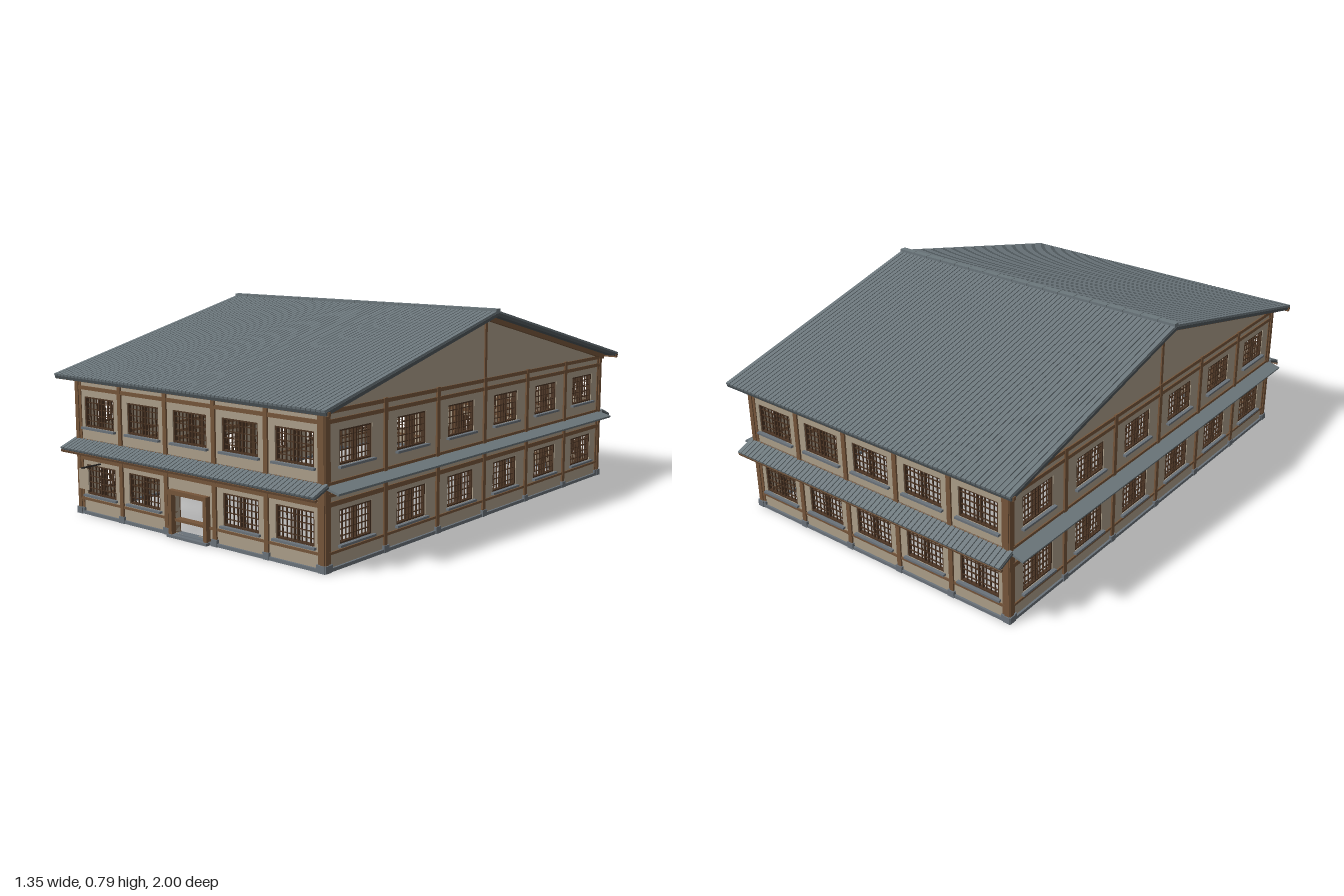
import * as THREE from 'three';
import { mergeGeometries } from 'three/addons/utils/BufferGeometryUtils.js';

const mat = (name, color) => Object.assign(new THREE.MeshStandardMaterial({ color }), { name });
const plaster = mat('plaster', 0xab9e89);
const timber = mat('timber', 0x75553a);
const lattice = mat('lattice wood', 0x4c3524);
const tile = mat('roof tile', 0x6c777c);
const slab = mat('roof underlay', 0x4d5559);
const stone = mat('stone', 0x6a727a);
const iron = mat('iron', 0x2e2b29);

// One box: width, height, depth, centre
function box(w, h, d, x, y, z) {
  return new THREE.BoxGeometry(w, h, d).translate(x, y, z);
}

function add(parent, name, geometries, material) {
  const mesh = new THREE.Mesh(mergeGeometries(geometries), material);
  mesh.name = name;
  parent.add(mesh);
  return mesh;
}

const HALF_W = 0.615, HALF_D = 0.92, EAVE = 0.53, SLOPE = 0.2475;
const WIN_W = 0.168, WIN_H = 0.116, THICK = 0.02;
const MID = -THICK / 2;

function rectHole(x0, x1, y0, y1) {
  return new THREE.Path([[x0, y0], [x1, y0], [x1, y1], [x0, y1]].map(p => new THREE.Vector2(...p)));
}

// Sliding lattice window: frame, meeting stiles and thin bars
function windowBars(cx, cy) {
  const bars = [];
  for (const s of [-1, 1]) {
    bars.push(box(0.006, WIN_H, 0.014, cx + s * (WIN_W / 2 - 0.003), cy, MID));
    bars.push(box(WIN_W, 0.006, 0.014, cx, cy + s * (WIN_H / 2 - 0.003), MID));
    bars.push(box(0.005, WIN_H, 0.01, cx + s * 0.008, cy, MID));
    for (let i = 1; i <= 3; i++)
      bars.push(box(0.0028, WIN_H, 0.005, cx + s * (0.004 + i * 0.019), cy, MID));
  }
  for (let j = 1; j <= 4; j++)
    bars.push(box(WIN_W, 0.0028, 0.005, cx, cy - WIN_H / 2 + j * WIN_H / 5, MID));
  return bars;
}

// A wall along local x with its outer face at z = 0, divided in equal bays
function makeWall(name, half, bays, gable, hasDoor) {
  const wall = new THREE.Group();
  wall.name = name;
  const pts = [[-half, 0], [half, 0], [half, EAVE]];
  if (gable) pts.push([0, EAVE + SLOPE * half]);
  pts.push([-half, EAVE]);
  const shape = new THREE.Shape(pts.map(p => new THREE.Vector2(...p)));

  const bay = (2 * half - 0.012) / bays;
  const bars = [], sills = [], posts = [], feet = [];
  for (let i = 0; i < bays; i++) {
    const cx = (i - (bays - 1) / 2) * bay;
    for (const cy of [0.137, 0.397]) {
      if (hasDoor && cy < 0.2 && i === (bays - 1) / 2) {
        shape.holes.push(rectHole(-0.08, 0.08, 0.012, 0.158));
        continue;
      }
      shape.holes.push(rectHole(cx - WIN_W / 2, cx + WIN_W / 2, cy - WIN_H / 2, cy + WIN_H / 2));
      bars.push(...windowBars(cx, cy));
      sills.push(box(0.186, 0.008, 0.026, cx, cy - WIN_H / 2 - 0.004, 0));
    }
  }
  const wallGeo = new THREE.ExtrudeGeometry(shape, { depth: THICK, bevelEnabled: false });
  wallGeo.translate(0, 0, -THICK);
  add(wall, 'plasterWall', [wallGeo], plaster);

  for (let i = 0; i <= bays; i++) {
    const x = (i - bays / 2) * bay;
    posts.push(box(0.018, EAVE, 0.034, x, EAVE / 2, MID));
    feet.push(box(0.028, 0.025, 0.042, x, 0.0125, MID));
  }
  if (gable) posts.push(box(0.014, 0.22, 0.03, 0, 0.64, MID));
  add(wall, 'posts', posts, timber);
  add(wall, 'postFeet', feet, stone);

  // Horizontal rails: height, thickness
  const rails = [[0.06, 0.009], [0.22, 0.016], [0.25, 0.012], [0.288, 0.01], [0.488, 0.014], [0.52, 0.014]];
  add(wall, 'rails', rails.map(([y, h]) => box(2 * half, h, 0.03, 0, y, MID)), timber);
  add(wall, 'baseSill', [box(2 * half, 0.012, 0.036, 0, 0.006, MID)], stone);
  add(wall, 'windowLattice', bars, lattice);
  add(wall, 'windowSills', sills, stone);
  return wall;
}

// Slab with tile ribs running down its slope; starts at the local origin
function makeTiledSlope(name, width, length, thick, rib, pitch) {
  const g = new THREE.Group();
  g.name = name;
  add(g, 'slopeSlab', [box(width, thick, length, 0, 0, length / 2)], slab);
  const n = Math.round(width / pitch), step = width / n, ribs = [];
  for (let i = 0; i < n; i++)
    ribs.push(box(step * 0.82, rib, length + 0.004, (i + 0.5) * step - width / 2, (thick + rib) / 2, length / 2));
  add(g, 'tileRibs', ribs, tile);
  return g;
}

// Lower canopy between floors: tiled on the short ends, plain on the long sides
function makeCanopy(half, tiled) {
  if (tiled) {
    const g = makeTiledSlope('canopy', 1.265, 0.073, 0.007, 0.007, 0.02);
    g.position.set(0, 0.283, 0);
    g.rotation.x = 0.38;
    add(g, 'canopyFascia', [box(1.27, 0.009, 0.01, 0, -0.006, 0.07)], timber);
    return g;
  }
  const g = new THREE.Group();
  g.name = 'sideCanopy';
  add(g, 'canopySlab', [box(2 * half, 0.008, 0.06, 0, 0, 0.03)], tile);
  g.position.set(0, 0.279, 0);
  g.rotation.x = 0.25;
  return g;
}

function makeDoor() {
  const door = new THREE.Group();
  door.name = 'doorway';
  add(door, 'doorFrame', [
    box(0.016, 0.17, 0.045, -0.088, 0.085, -0.002),
    box(0.016, 0.17, 0.045, 0.088, 0.085, -0.002),
    box(0.192, 0.016, 0.045, 0, 0.163, -0.002),
  ], timber);
  add(door, 'doorStep', [box(0.2, 0.01, 0.03, 0, 0.005, 0.012)], stone);
  return door;
}

// Hanging blank board on an iron bracket
function makeSign() {
  const sign = new THREE.Group();
  sign.name = 'hangingSign';
  add(sign, 'signBracket', [
    box(0.006, 0.005, 0.088, 0, 0.205, 0.044),
    box(0.002, 0.008, 0.002, 0, 0.2, 0.076),
  ], iron);
  add(sign, 'signBoard', [box(0.055, 0.076, 0.005, 0, 0.162, 0.076)], plaster);
  sign.position.x = -0.49;
  return sign;
}

function makeRoof() {
  const roof = new THREE.Group();
  roof.name = 'mainRoof';
  for (const turn of [0, Math.PI]) {
    const side = new THREE.Group();
    side.name = 'roofSide';
    side.rotation.y = turn;
    const slope = makeTiledSlope('roofSlope', 1.34, 1.005, 0.012, 0.008, 0.02);
    slope.rotation.x = Math.atan(SLOPE);
    add(slope, 'gableRafters', [-1, 1].map(s => box(0.03, 0.018, 0.96, s * 0.615, -0.015, 0.48)), timber);
    side.add(slope);
    add(side, 'eaveFascia', [box(1.346, 0.014, 0.014, 0, -0.242, 0.962)], timber);
    roof.add(side);
  }
  // Ridge tiles laid end to end
  const caps = [];
  for (let i = 0; i < 18; i++) caps.push(box(0.0725, 0.016, 0.026, (i - 8.5) * 0.0744, 0.013, 0));
  add(roof, 'ridgeTiles', caps, tile);
  roof.position.y = 0.768;
  return roof;
}

export function createModel() {
  const model = new THREE.Group();
  model.name = 'timberHouse';
  const house = new THREE.Group();
  house.name = 'house';
  house.position.z = -0.008;

  const sides = [
    ['frontWall', 0, HALF_W, HALF_D, 5],
    ['leftWall', Math.PI / 2, HALF_D, HALF_W, 6],
    ['backWall', Math.PI, HALF_W, HALF_D, 5],
    ['rightWall', -Math.PI / 2, HALF_D, HALF_W, 6],
  ];
  for (const [name, turn, half, out, bays] of sides) {
    const isFront = name === 'frontWall', long = bays === 6;
    const wall = makeWall(name, half, bays, long, isFront);
    wall.add(makeCanopy(half, !long));
    if (isFront) wall.add(makeDoor(), makeSign());
    wall.rotation.y = turn;
    wall.position.set(Math.sin(turn) * out, 0, Math.cos(turn) * out);
    house.add(wall);
  }
  house.add(makeRoof());
  model.add(house);
  return model;
}
